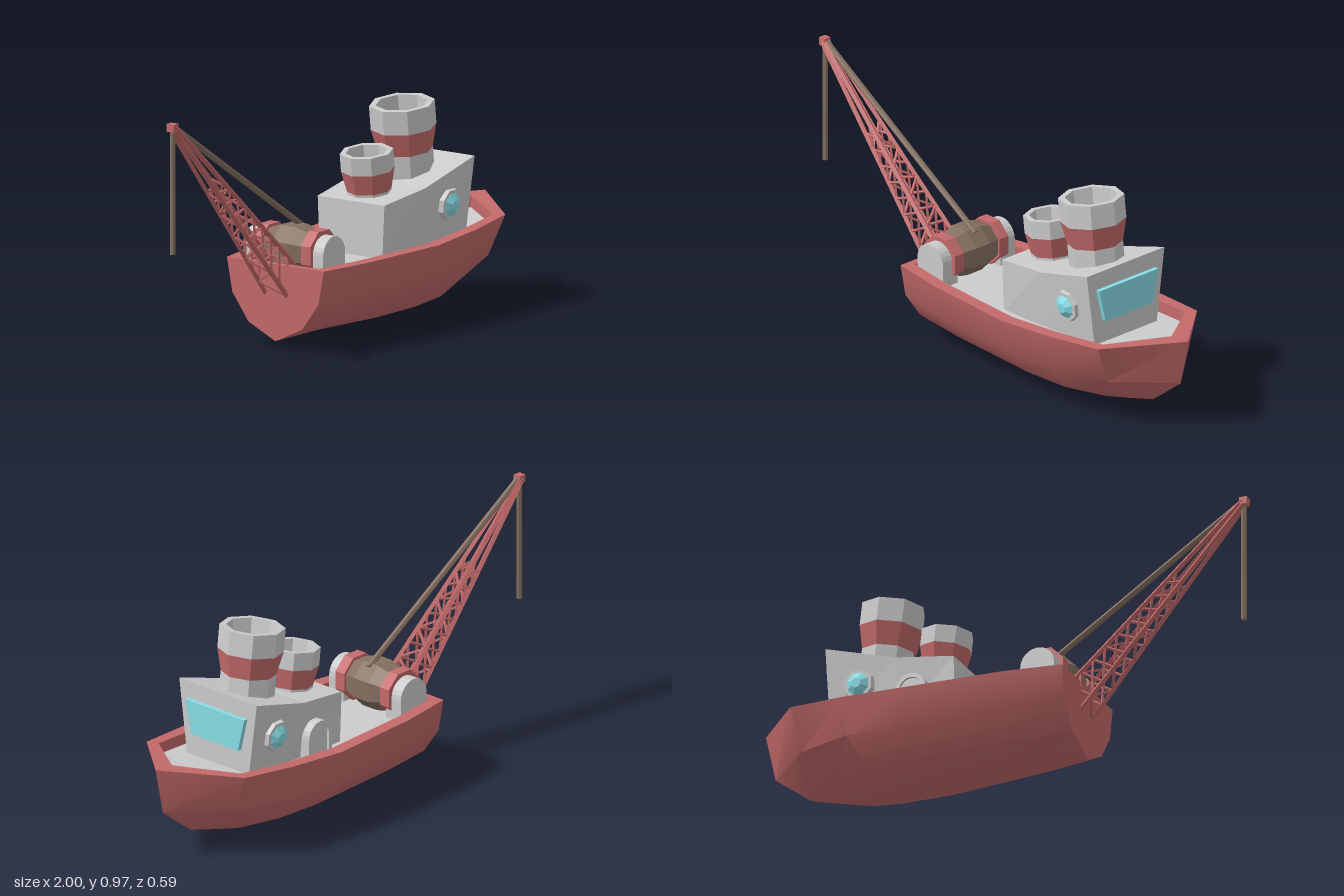
import * as THREE from 'three';
import { toCreasedNormals } from 'three/addons/utils/BufferGeometryUtils.js';

const mat = (color, flatShading = true) => new THREE.MeshStandardMaterial({ color, flatShading });
const GREY = mat(0xcccccc), RED = mat(0xc46a6a), BROWN = mat(0x857060), GLASS = mat(0x88dde6);
const HULL_RED = mat(0xc46a6a, false);
const V = (x, y, z) => new THREE.Vector3(x, y, z);

function add(parent, name, geometry, material) {
  const mesh = new THREE.Mesh(geometry, material);
  mesh.name = name;
  parent.add(mesh);
  return mesh;
}

// Skin between rows of points
function skin(rows) {
  const pos = [];
  const tri = (a, b, c) => {
    if (a.distanceTo(b) > 1e-6 && b.distanceTo(c) > 1e-6 && a.distanceTo(c) > 1e-6)
      for (const p of [a, b, c]) pos.push(p.x, p.y, p.z);
  };
  for (let i = 0; i < rows.length - 1; i++) {
    for (let j = 0; j < rows[i].length - 1; j++) {
      const a = rows[i][j], b = rows[i][j + 1], c = rows[i + 1][j], d = rows[i + 1][j + 1];
      tri(a, b, c);
      tri(c, b, d);
    }
  }
  const g = new THREE.BufferGeometry();
  g.setAttribute('position', new THREE.Float32BufferAttribute(pos, 3));
  g.computeVertexNormals();
  return toCreasedNormals(g, 0.55);
}

// Straight bar between two points
function bar(parent, name, a, b, r, material, sides = 4) {
  const dir = b.clone().sub(a);
  const m = add(parent, name, new THREE.CylinderGeometry(r, r, dir.length(), sides), material);
  m.position.copy(a).add(b).multiplyScalar(0.5);
  m.quaternion.setFromUnitVectors(V(0, 1, 0), dir.normalize());
}

// Upright arch outline with its round centre at the origin
function arch(r, drop, path = new THREE.Shape()) {
  path.moveTo(-r, -drop);
  path.lineTo(r, -drop);
  path.lineTo(r, 0);
  path.absarc(0, 0, r, 0, Math.PI, false);
  path.closePath();
  return path;
}
const extrude = (shape, depth) =>
  new THREE.ExtrudeGeometry(shape, { depth, bevelEnabled: false, curveSegments: 6 });

function buildHull(root) {
  const hull = new THREE.Group();
  hull.name = 'hull';
  root.add(hull);
  // Stations: [x, y, half width] at sheer, side, bilge and keel
  const stations = [
    [[-0.33, 0.32, 0.225], [-0.33, 0.19, 0.2], [-0.33, 0.085, 0.125], [-0.33, 0.025, 0]],
    [[-0.1, 0.32, 0.265], [-0.1, 0.185, 0.235], [-0.1, 0.08, 0.15], [-0.05, 0.022, 0]],
    [[0.3, 0.32, 0.295], [0.3, 0.18, 0.262], [0.3, 0.07, 0.165], [0.3, 0.005, 0]],
    [[0.55, 0.335, 0.285], [0.55, 0.19, 0.25], [0.5, 0.073, 0.16], [0.55, 0.003, 0]],
    [[0.78, 0.35, 0.255], [0.76, 0.19, 0.19], [0.67, 0.075, 0.085], [0.68, 0.038, 0]],
    [[1, 0.375, 0], [0.96, 0.19, 0], [0.81, 0.075, 0], [0.81, 0.075, 0]],
  ];
  const sections = stations.map(s => [
    ...s.map(([x, y, w]) => V(x, y, w)),
    ...s.slice(0, 3).reverse().map(([x, y, w]) => V(x, y, -w)),
  ]);
  const transomCentre = sections[0].map(() => V(-0.33, 0.32, 0));
  add(hull, 'hullShell', skin([transomCentre, ...sections]), HULL_RED);

  // Bulwark rim and deck, from the sheer line inset
  const inner = [[-0.3, 0.32, 0.18], [-0.1, 0.32, 0.213], [0.3, 0.32, 0.242],
    [0.55, 0.335, 0.234], [0.76, 0.35, 0.212], [0.91, 0.368, 0]];
  const side = (list, sign, dy) => list.map(([x, y, w]) => V(x, y + dy, sign * w));
  const loop = (list, dy) => {
    const port = side(list, 1, dy);
    return [...port, ...side(list, -1, dy).reverse(), port[0].clone()];
  };
  const rim = [loop(stations.map(s => s[0]), 0), loop(inner, 0), loop(inner, -0.045)];
  // Columns and rows swap so the rim faces up and inward
  const columns = rim[0].map((_, j) => rim.map(r => r[j]).reverse());
  add(hull, 'bulwark', skin(columns.reverse().map(c => c.slice().reverse()).reverse()
    .map(c => c.reverse())), RED).material = new THREE.MeshStandardMaterial({
    color: 0xc46a6a, flatShading: true, side: THREE.DoubleSide });
  const deckRows = side(inner, 1, -0.045).map((p, i) => [side(inner, -1, -0.045)[i], p]);
  add(hull, 'deck', skin(deckRows), GREY);
}

function buildHouse(root) {
  const house = new THREE.Group();
  house.name = 'deckhouse';
  root.add(house);
  // Sections: x, roof height, half width at roof and at deck
  const rows = [[0.15, 0.48, 0.155, 0.145], [0.38, 0.51, 0.176, 0.15], [0.66, 0.59, 0.2, 0.155]]
    .map(([x, y, t, b]) => [V(x, 0.26, -b), V(x, y, -t), V(x, y, t), V(x, 0.26, b)]);
  const cap = x => rows[0].map(() => V(x, 0.26, 0));
  add(house, 'houseWalls', skin([cap(0.15), ...rows, cap(0.66)]), GREY);

  // Front window
  const pane = new THREE.Shape([[-0.12, 0.39], [0.12, 0.39], [0.152, 0.522], [-0.152, 0.522]]
    .map(p => new THREE.Vector2(...p)));
  const win = add(house, 'frontWindow', extrude(pane, 0.025), GLASS);
  win.rotation.y = Math.PI / 2;
  win.position.x = 0.653;

  // Portholes on both sides
  for (const s of [1, -1]) {
    const port = new THREE.Group();
    port.name = s > 0 ? 'leftPorthole' : 'rightPorthole';
    port.position.set(0.53, 0.425, s * 0.172);
    port.rotation.set(s * (Math.PI / 2 + 0.08), 0, 0);
    add(port, 'portholeFrame', new THREE.CylinderGeometry(0.06, 0.066, 0.04, 8), GREY).rotation.y = Math.PI / 8;
    const glass = add(port, 'portholeGlass', new THREE.CylinderGeometry(0.02, 0.048, 0.018, 8), GLASS);
    glass.rotation.y = Math.PI / 8;
    glass.position.y = 0.028;
    house.add(port);
  }

  // Arched side door
  const frame = arch(0.062, 0.1);
  frame.holes.push(arch(0.046, 0.09, new THREE.Path()));
  add(house, 'doorFrame', extrude(frame, 0.06), GREY).position.set(0.31, 0.36, -0.198);
  add(house, 'door', extrude(arch(0.05, 0.1), 0.045), GREY).position.set(0.31, 0.36, -0.187);
}

// Hollow eight-sided funnel; heights run along its leaning axis
function buildFunnel(root, name, x, y, r, [h0, h1, h2], floor) {
  const f = new THREE.Group();
  f.name = name;
  f.position.set(x, y, 0);
  f.rotation.z = 0.12;
  root.add(f);
  const [narrow, wide, bore] = r;
  const lathe = pts => new THREE.LatheGeometry(pts.map(p => new THREE.Vector2(...p)), 8);
  add(f, 'funnelBase', lathe([[narrow, -0.03], [narrow, h0]]), GREY);
  add(f, 'funnelBand', lathe([[narrow, h0], [wide, h1]]), RED);
  add(f, 'funnelTop', lathe([[wide, h1], [wide, h2], [bore, h2], [bore * 0.8, floor], [0, floor]]), GREY);
}

function buildWinch(root) {
  const winch = new THREE.Group();
  winch.name = 'winch';
  winch.position.set(-0.21, 0.36, 0);
  root.add(winch);
  const drum = new THREE.LatheGeometry([[0.078, -0.1], [0.1, -0.035], [0.1, 0.035], [0.078, 0.1]]
    .map(p => new THREE.Vector2(...p)), 8);
  drum.rotateY(Math.PI / 8).rotateX(Math.PI / 2);
  add(winch, 'ropeDrum', drum, BROWN);
  for (const s of [1, -1]) {
    const flange = new THREE.CylinderGeometry(0.092, 0.092, 0.045, 8);
    flange.rotateY(Math.PI / 8).rotateX(Math.PI / 2);
    add(winch, 'drumFlange', flange, RED).position.z = s * 0.115;
    add(winch, 'winchSupport', extrude(arch(0.07, 0.085), 0.075), GREY).position.z = s > 0 ? 0.11 : -0.185;
  }
}

function buildCrane(root) {
  const crane = new THREE.Group();
  crane.name = 'crane';
  root.add(crane);
  // Point on one of four tapering rails, t = 0 at the tip
  const rail = (upper, s, t) => upper
    ? V(-0.98, 0.962, s * 0.008).lerp(V(-0.28, 0.315, s * 0.055), t)
    : V(-0.983, 0.948, s * 0.008).lerp(V(-0.325, 0.205, s * 0.05), t);
  for (const u of [true, false])
    for (const s of [1, -1]) bar(crane, 'boomRail', rail(u, s, 0), rail(u, s, 1), 0.011, RED);
  // Lattice bracing on all four faces
  const n = 9;
  for (let i = 0; i < n; i++) {
    const a = 0.38 + 0.62 * i / n, b = 0.38 + 0.62 * (i + 1) / n;
    for (const s of [1, -1]) {
      bar(crane, 'sideBrace', rail(true, s, a), rail(false, s, b), 0.006, RED);
      bar(crane, 'sideBrace', rail(false, s, a), rail(true, s, b), 0.006, RED);
    }
    const k = i % 2 ? 1 : -1;
    for (const u of [true, false]) bar(crane, 'crossBrace', rail(u, k, a), rail(u, -k, b), 0.006, RED);
  }
  add(crane, 'boomTip', new THREE.BoxGeometry(0.03, 0.03, 0.032), RED).position.set(-0.982, 0.957, 0);
  bar(crane, 'hoistRope', V(-0.975, 0.958, 0), V(-0.16, 0.44, 0), 0.012, BROWN, 6);
  bar(crane, 'hangingRope', V(-0.98, 0.955, 0), V(-0.98, 0.47, 0), 0.011, BROWN, 6);
}

export function createModel() {
  const boat = new THREE.Group();
  boat.name = 'craneBoat';
  buildHull(boat);
  buildHouse(boat);
  buildFunnel(boat, 'mainFunnel', 0.508, 0.5, [0.105, 0.125, 0.1], [0.12, 0.21, 0.303], 0.1);
  buildFunnel(boat, 'smallFunnel', 0.27, 0.47, [0.085, 0.102, 0.08], [0.035, 0.115, 0.185], 0.05);
  buildWinch(boat);
  buildCrane(boat);
  return boat;
}
